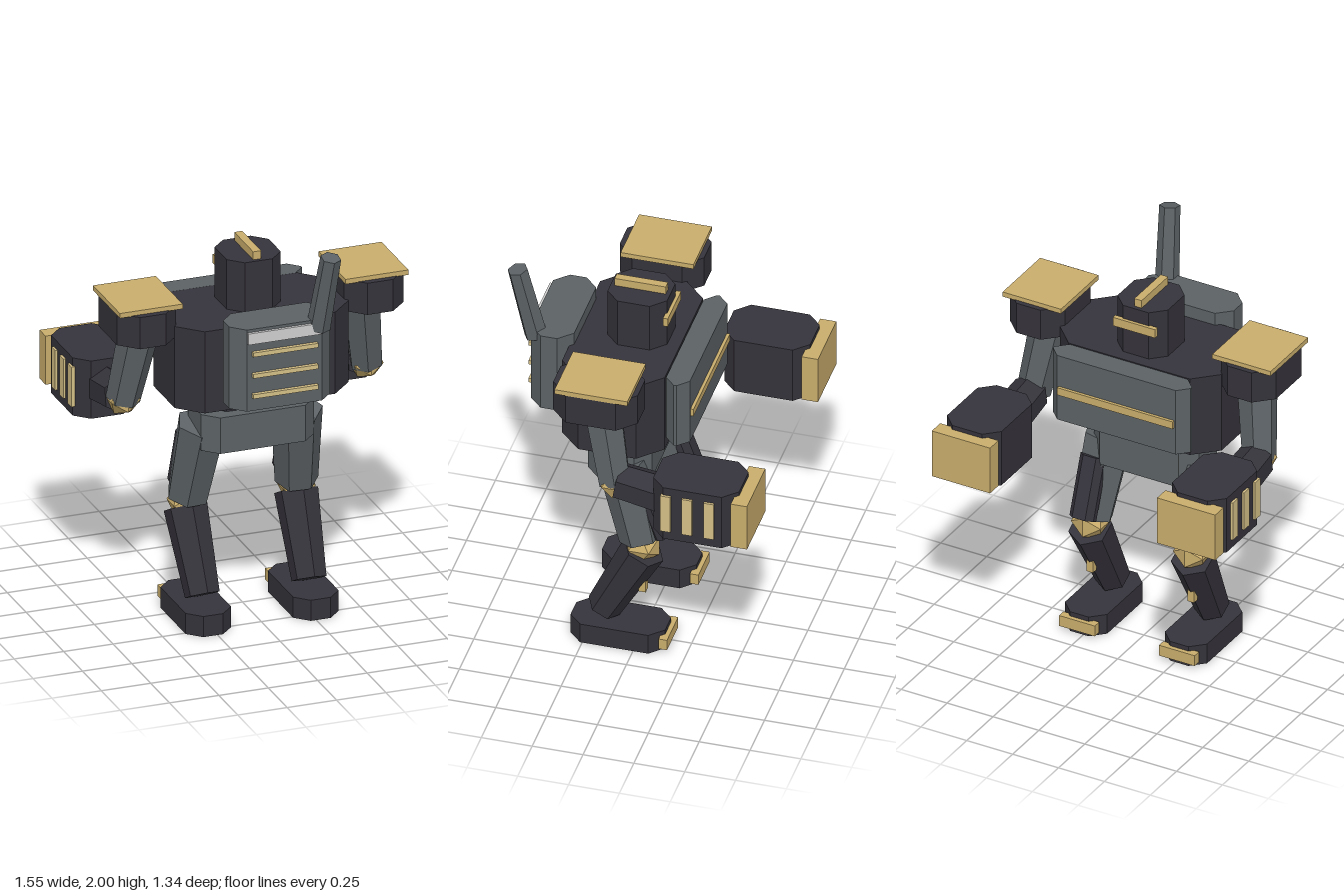
import * as THREE from 'three';

const mat = (name, color) => {
  const m = new THREE.MeshStandardMaterial({ color, flatShading: true });
  m.name = name;
  return m;
};

export function createModel() {
  const root = new THREE.Group();
  root.name = 'robot';
  const dark = mat('charcoal armour', 0x35333b);
  const grey = mat('steel grey', 0x5c6265);
  const gold = mat('brass trim', 0xc9ad6c);
  const pale = mat('pale brass vents', 0xd4bf86);
  const light = mat('light grey', 0xcfcfcf);

  const add = (parent, name, geometry, material, x, y, z) => {
    const mesh = new THREE.Mesh(geometry, material);
    mesh.name = name;
    mesh.position.set(x, y, z);
    parent.add(mesh);
    return mesh;
  };

  // plain box given by its min and max corners
  const box = (parent, name, material, [x0, x1], [y0, y1], [z0, z1]) =>
    add(parent, name, new THREE.BoxGeometry(Math.abs(x1 - x0), y1 - y0, z1 - z0), material,
      (x0 + x1) / 2, (y0 + y1) / 2, (z0 + z1) / 2);

  // box with its four upright edges cut off
  const chamferGeometry = (w, h, d, c) => {
    const a = w / 2, b = d / 2;
    const shape = new THREE.Shape([
      [-a + c, -b], [a - c, -b], [a, -b + c], [a, b - c],
      [a - c, b], [-a + c, b], [-a, b - c], [-a, -b + c],
    ].map(([x, y]) => new THREE.Vector2(x, y)));
    return new THREE.ExtrudeGeometry(shape, { depth: h, bevelEnabled: false })
      .translate(0, 0, -h / 2).rotateX(-Math.PI / 2);
  };
  const chamfer = (parent, name, material, [x0, x1], [y0, y1], [z0, z1], c) =>
    add(parent, name, chamferGeometry(Math.abs(x1 - x0), y1 - y0, z1 - z0, c), material,
      (x0 + x1) / 2, (y0 + y1) / 2, (z0 + z1) / 2);

  // six-sided tapered limb between two points
  const limb = (parent, name, material, from, to, r0, r1) => {
    const a = new THREE.Vector3(...from), b = new THREE.Vector3(...to);
    const dir = b.clone().sub(a);
    const mid = a.clone().add(b).multiplyScalar(0.5);
    const mesh = add(parent, name, new THREE.CylinderGeometry(r1, r0, dir.length(), 6), material, ...mid);
    mesh.quaternion.setFromUnitVectors(new THREE.Vector3(0, 1, 0), dir.normalize());
    return mesh;
  };

  // torso and hips
  const body = new THREE.Group();
  body.name = 'body';
  root.add(body);
  chamfer(body, 'torso', dark, [-0.44, 0.44], [1.17, 1.59], [-0.14, 0.365], 0.11);
  chamfer(body, 'waist', dark, [-0.21, 0.21], [1.05, 1.19], [0.01, 0.21], 0.05);
  chamfer(body, 'pelvis', grey, [-0.285, 0.285], [0.905, 1.09], [-0.045, 0.27], 0.07);
  chamfer(body, 'chestPlate', grey, [-0.375, 0.375], [1.235, 1.588], [-0.262, -0.145], 0.052);
  box(body, 'chestStripe', gold, [-0.315, 0.315], [1.38, 1.42], [-0.277, -0.255]);

  // backpack with vents and exhaust
  chamfer(body, 'backpack', grey, [-0.255, 0.255], [1.235, 1.655], [0.345, 0.557], 0.065);
  box(body, 'backpackLight', light, [-0.188, 0.188], [1.583, 1.64], [0.55, 0.572]);
  for (const y of [1.315, 1.42, 1.53])
    box(body, 'backpackVent', pale, [-0.165, 0.165], [y - 0.011, y + 0.011], [0.55, 0.577]);
  limb(body, 'exhaust', grey, [0.18, 1.605, 0.535], [0.212, 1.99, 0.617], 0.058, 0.05);

  // head
  const head = new THREE.Group();
  head.name = 'head';
  root.add(head);
  chamfer(head, 'helmet', dark, [-0.137, 0.137], [1.58, 1.845], [-0.078, 0.215], 0.067);
  box(head, 'crest', gold, [-0.02, 0.02], [1.84, 1.886], [-0.057, 0.195]);
  box(head, 'visor', gold, [-0.115, 0.115], [1.727, 1.773], [-0.094, -0.07]);

  // arms and legs, s = +1 for left, -1 for right
  for (const s of [1, -1]) {
    const side = s > 0 ? 'left' : 'right';

    const arm = new THREE.Group();
    arm.name = side + 'Arm';
    root.add(arm);
    chamfer(arm, 'shoulder', dark, [s * 0.425, s * 0.725], [1.53, 1.693], [-0.095, 0.32], 0.085);
    box(arm, 'shoulderPlate', gold, [s * 0.412, s * 0.73], [1.69, 1.715], [-0.07, 0.288]);
    limb(arm, 'upperArm', grey, [s * 0.556, 1.56, 0.105], [s * 0.615, 1.15, 0.025], 0.1, 0.083);
    add(arm, 'elbow', new THREE.IcosahedronGeometry(0.085, 0), gold, s * 0.615, 1.155, 0.025);
    limb(arm, 'forearm', dark, [s * 0.615, 1.163, 0.005], [s * 0.615, 1.125, -0.22], 0.093, 0.1);
    chamfer(arm, 'fist', dark, [s * 0.465, s * 0.762], [0.975, 1.272], [-0.61, -0.188], 0.067);
    box(arm, 'fistCap', gold, [s * 0.455, s * 0.772], [1.0, 1.25], [-0.67, -0.59]);
    for (const z of [-0.268, -0.374, -0.481])
      box(arm, 'fistVent', pale, [s * 0.755, s * 0.774], [1.025, 1.23], [z - 0.025, z + 0.025]);

    const leg = new THREE.Group();
    leg.name = side + 'Leg';
    root.add(leg);
    limb(leg, 'thigh', grey, [s * 0.24, 0.996, 0.092], [s * 0.276, 0.59, -0.008], 0.125, 0.105);
    const guard = add(leg, 'thighGuard', chamferGeometry(0.13, 0.31, 0.09, 0.03), dark, s * 0.265, 0.775, -0.065);
    guard.rotation.x = 0.35;
    add(leg, 'knee', new THREE.IcosahedronGeometry(0.095, 0), gold, s * 0.278, 0.56, -0.018);
    limb(leg, 'shin', dark, [s * 0.27, 0.15, 0.175], [s * 0.28, 0.526, -0.023], 0.085, 0.107);
    box(leg, 'shinStud', gold, [s * 0.257, s * 0.293], [0.285, 0.345], [-0.036, 0.0]);
    chamfer(leg, 'foot', dark, [s * 0.157, s * 0.387], [0, 0.106], [-0.14, 0.325], 0.065);
    box(leg, 'toeCap', gold, [s * 0.175, s * 0.369], [0.025, 0.082], [-0.162, -0.12]);
  }
  return root;
}
